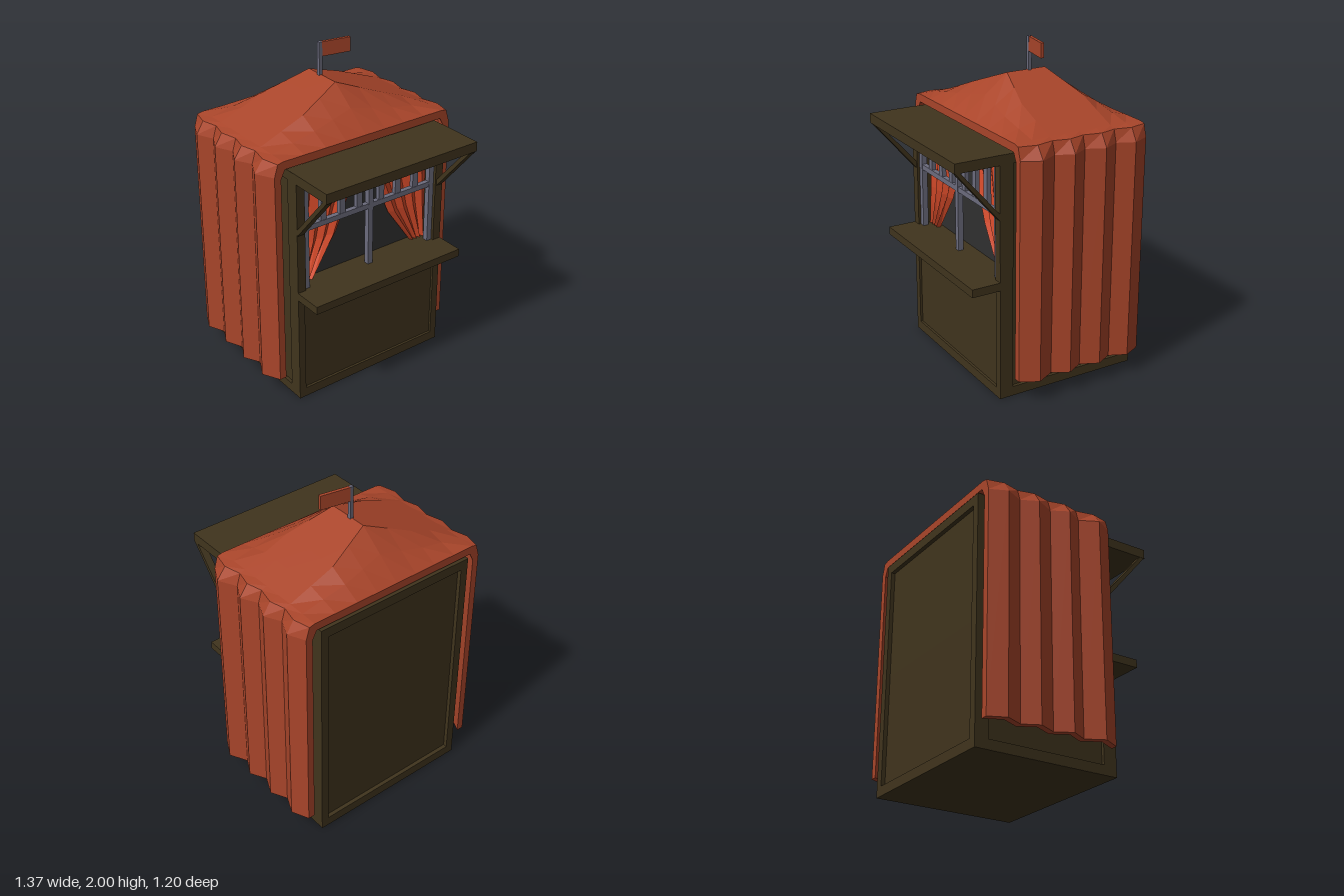
import * as THREE from 'three';

const mat = (color) => new THREE.MeshStandardMaterial({ color, flatShading: true });
const wood = mat(0x40341d);
const cloth = mat(0xa9452a);
const metal = mat(0x6c6c7e);
const dark = mat(0x303030);
const curtainCloth = mat(0xd64a29);
curtainCloth.side = THREE.DoubleSide;

function add(parent, name, geometry, material, x = 0, y = 0, z = 0) {
  const mesh = new THREE.Mesh(geometry, material);
  mesh.name = name;
  mesh.position.set(x, y, z);
  parent.add(mesh);
  return mesh;
}

// Box given by its extents on each axis
function block(parent, name, material, [x0, x1], [y0, y1], [z0, z1]) {
  return add(parent, name, new THREE.BoxGeometry(x1 - x0, y1 - y0, z1 - z0), material,
    (x0 + x1) / 2, (y0 + y1) / 2, (z0 + z1) / 2);
}

// Flat frame in the xy plane with rectangular holes [halfWidth, y0, y1]
function frame(halfW, y0, y1, depth, holes) {
  const rect = (path, w, a, b) => path.moveTo(-w, a).lineTo(w, a).lineTo(w, b).lineTo(-w, b).closePath();
  const shape = rect(new THREE.Shape(), halfW, y0, y1);
  for (const h of holes) shape.holes.push(rect(new THREE.Path(), ...h));
  return new THREE.ExtrudeGeometry(shape, { depth, bevelEnabled: false });
}

// Collects quads into one faceted geometry
function quads(list) {
  const pos = [];
  for (const [a, b, c, d] of list) pos.push(...a, ...b, ...c, ...a, ...c, ...d);
  const g = new THREE.BufferGeometry();
  g.setAttribute('position', new THREE.Float32BufferAttribute(pos, 3));
  g.computeVertexNormals();
  return g;
}

// Pleated cloth draped over the roof and down both sides
function canopyGeometry() {
  const rowZ = [0.25, 0.14, 0.03, -0.07, -0.17, -0.28, -0.38, -0.485, -0.59];
  const roofX = [0, 0.14, 0.28, 0.43, 0.57];
  const half = (j, inner) => {
    const peak = j % 2 === 1;
    const drop = inner ? 0.05 : 0;
    const pts = roofX.map((x) => {
      const pull = 1 - Math.min(x / 0.28, 1);
      const front = 0.03 - 0.07 * pull, back = -0.38 + 0.08 * pull;
      let z = rowZ[j], lift = 1;
      if (j === 2) z = front;
      if (j === 6) z = back;
      if (j === 1) { z = (0.25 + front) / 2; lift = 0.5; }
      if (j === 7) { z = (-0.59 + back) / 2; lift = 0.5; }
      if (j === 0 || j === 8) lift = 0;
      return [x * (inner ? 0.98 : 1), 1.573 + (0.227 - 0.39 * x) * lift - drop, z];
    });
    const side = peak ? 0.685 - Math.floor(j / 2) * 0.003 : 0.628;
    const t = inner ? 0.043 : 0;
    pts.push([(peak ? 0.63 : 0.605) - t, 1.565 - drop, rowZ[j]]);
    pts.push([side - t, 1.49 - t / 2, rowZ[j]]);
    pts.push([side - t, 0.14, rowZ[j]]);
    return pts;
  };
  const across = (j, inner) => {
    const h = half(j, inner);
    return [...h.slice().reverse(), ...h.slice(1).map(([x, y, z]) => [-x, y, z])];
  };
  const list = [];
  const outer = rowZ.map((_, j) => across(j, false));
  const inner = rowZ.map((_, j) => across(j, true));
  const loops = rowZ.map((_, j) => [...outer[j], ...inner[j].slice().reverse()]);
  for (let j = 0; j < rowZ.length - 1; j++) {
    const a = loops[j], b = loops[j + 1];
    for (let i = 0; i < a.length; i++) {
      const k = (i + 1) % a.length;
      list.push([a[i], b[i], b[k], a[k]]);
    }
  }
  // Front and back hems
  const e = rowZ.length - 1;
  for (let i = 0; i < outer[0].length - 1; i++) {
    list.push([outer[0][i], outer[0][i + 1], inner[0][i + 1], inner[0][i]]);
    list.push([outer[e][i], inner[e][i], inner[e][i + 1], outer[e][i + 1]]);
  }
  return quads(list);
}

// Curtain drawn aside, with shallow folds
function curtainGeometry(side) {
  const edge = [[1.45, 0], [1.28, 0.075], [1.0, 0.195], [0.75, 0.37]];
  const folds = 8;
  const point = (r, c) => {
    const [y, e] = edge[r];
    return [side * (e + (0.48 - e) * c / folds), y, 0.235 + (c % 2 ? 0.012 : -0.012)];
  };
  const list = [];
  for (let r = 0; r < edge.length - 1; r++)
    for (let c = 0; c < folds; c++) {
      const q = [point(r, c), point(r + 1, c), point(r + 1, c + 1), point(r, c + 1)];
      list.push(side > 0 ? q : q.reverse());
    }
  return quads(list);
}

export function createModel() {
  const model = new THREE.Group();
  model.name = 'booth';

  // Body: recessed panels inside raised frames
  const body = new THREE.Group();
  body.name = 'body';
  model.add(body);
  block(body, 'lowerBody', wood, [-0.515, 0.515], [0.005, 0.75], [-0.575, 0.305]);
  block(body, 'upperBody', wood, [-0.515, 0.515], [0.75, 1.505], [-0.575, 0.19]);
  block(body, 'floor', wood, [-0.534, 0.534], [0, 0.03], [-0.599, 0.319]);
  block(body, 'roofBoard', wood, [-0.534, 0.534], [1.45, 1.509], [-0.599, 0.319]);
  for (const s of [-1, 1])
    block(body, 'windowJamb', wood, s > 0 ? [0.48, 0.515] : [-0.515, -0.48], [0.75, 1.45], [0.18, 0.305]);
  add(body, 'frontFrame', frame(0.535, 0, 1.51, 0.03, [[0.49, 0.06, 0.7], [0.48, 0.75, 1.45]]), wood, 0, 0, 0.29);
  add(body, 'backFrame', frame(0.535, 0, 1.51, 0.03, [[0.485, 0.06, 1.45]]), wood, 0, 0, -0.6);
  for (const s of [-1, 1]) {
    const f = add(body, 'sideFrame', frame(0.455, 0.001, 1.508, 0.03, [[0.375, 0.06, 1.45]]), wood, s * 0.505, 0, -0.14);
    f.rotation.y = s * Math.PI / 2;
  }

  // Counter shelf and awning with slanted brackets
  block(model, 'counterShelf', wood, [-0.535, 0.535], [0.7, 0.75], [0.3, 0.5]);
  block(model, 'awning', wood, [-0.535, 0.535], [1.45, 1.51], [0.31, 0.6]);
  const brace = new THREE.Shape([[0.6, 1.455], [0.57, 1.455], [0.31, 1.155], [0.31, 1.125], [0.32, 1.125]]
    .map(([z, y]) => new THREE.Vector2(-z, y)));
  for (const s of [-1, 1]) {
    const b = add(model, 'awningBracket',
      new THREE.ExtrudeGeometry(brace, { depth: 0.045, bevelEnabled: false }), wood, s > 0 ? 0.489 : -0.534);
    b.rotation.y = Math.PI / 2;
  }

  // Window: dark inside, curtains and metal bars
  const win = new THREE.Group();
  win.name = 'window';
  model.add(win);
  block(win, 'darkInterior', dark, [-0.48, 0.48], [0.75, 1.45], [0.18, 0.2]);
  for (const s of [-1, 1])
    add(win, s > 0 ? 'leftCurtain' : 'rightCurtain', curtainGeometry(s), curtainCloth);
  for (const x of [-0.46, 0, 0.46])
    block(win, 'post', metal, [x - 0.017, x + 0.017], [0.75, 1.45], [0.27, 0.305]);
  block(win, 'crossbar', metal, [-0.46, 0.46], [1.125, 1.158], [0.272, 0.303]);
  for (const x of [0.08, 0.203, 0.337])
    for (const s of [-1, 1])
      block(win, 'upperBar', metal, [s * x - 0.02, s * x + 0.02], [1.15, 1.45], [0.274, 0.301]);

  // Cloth canopy
  add(model, 'canopy', canopyGeometry(), cloth);

  // Pole and flag
  block(model, 'flagPole', metal, [-0.011, 0.011], [1.76, 2], [-0.202, -0.18]);
  const flag = block(model, 'flag', cloth, [0.008, 0.195], [1.91, 1.999], [-0.185, -0.165]);
  flag.rotation.y = -0.17;
  return model;
}
